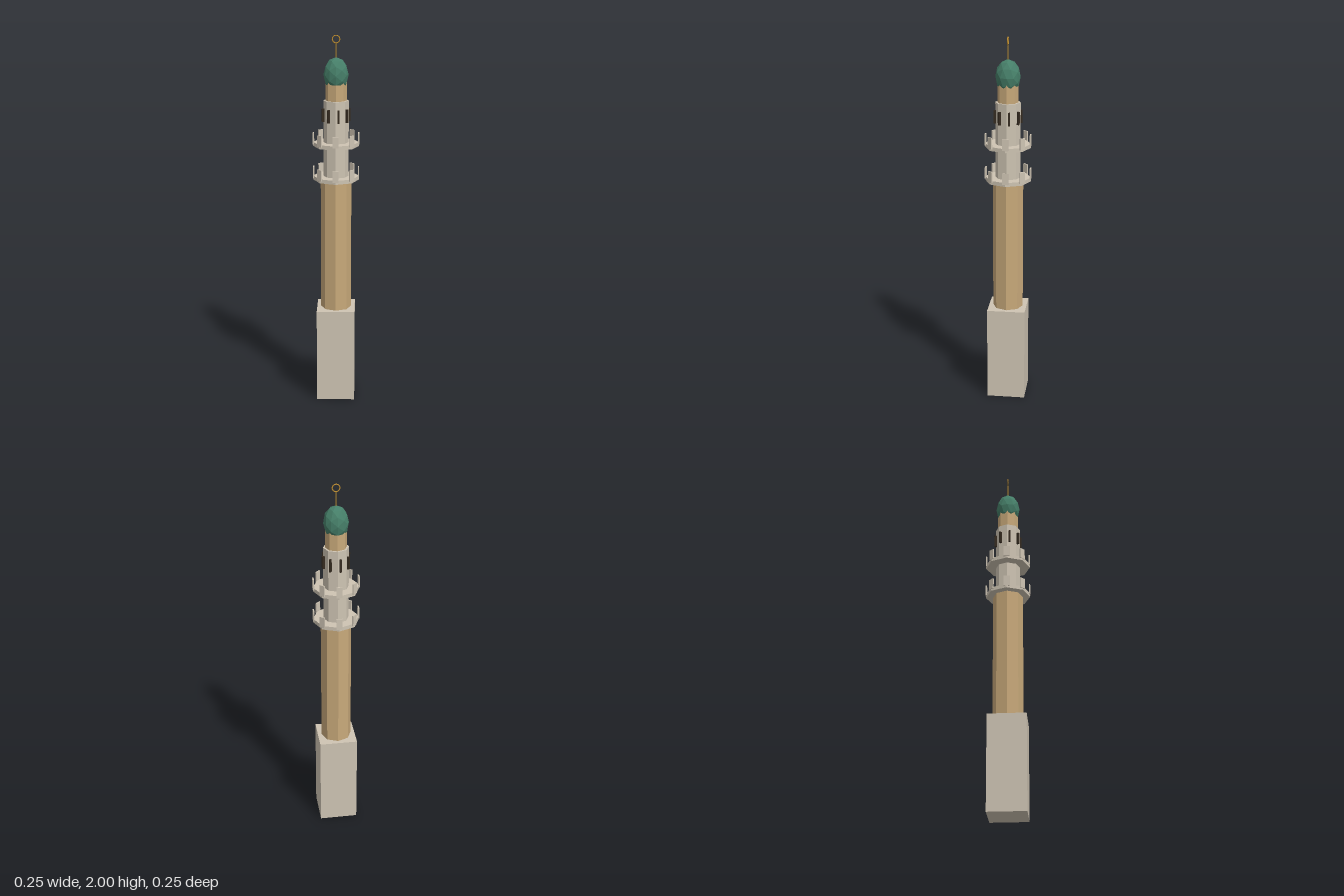
import * as THREE from 'three';

const mat = (name, color) => {
  const m = new THREE.MeshStandardMaterial({ color, flatShading: true });
  m.name = name;
  return m;
};

export function createModel() {
  const stone = mat('pale stone', 0xcec4b3);
  const sand = mat('sandstone', 0xc8a97a);
  const green = mat('dome green', 0x467f69);
  const dark = mat('window dark', 0x352b20);
  const gold = mat('gold', 0xb98a30);

  const tower = new THREE.Group();
  tower.name = 'tower';

  const add = (name, geometry, material, y = 0, parent = tower) => {
    const mesh = new THREE.Mesh(geometry, material);
    mesh.name = name;
    mesh.position.y = y;
    parent.add(mesh);
    return mesh;
  };

  // Eight-sided drum standing between two heights
  const drum = (name, radius, y0, y1, material) =>
    add(name, new THREE.CylinderGeometry(radius, radius, y1 - y0, 8), material, (y0 + y1) / 2);

  // Eight boxes set around the axis, each facing outward
  const ring = (name, size, radius, y, start, material) => {
    const group = new THREE.Group();
    group.name = name + 's';
    const geometry = new THREE.BoxGeometry(...size);
    for (let i = 0; i < 8; i++) {
      const a = start + (i * Math.PI) / 4;
      const box = add(name, geometry, material, y, group);
      box.position.x = Math.sin(a) * radius;
      box.position.z = Math.cos(a) * radius;
      box.rotation.y = a;
    }
    tower.add(group);
  };

  // Square base and shafts
  add('base', new THREE.BoxGeometry(0.206, 0.517, 0.206), stone, 0.2585);
  drum('mainShaft', 0.082, 0.517, 1.235, sand);
  drum('upperShaft', 0.067, 1.235, 1.66, stone);
  drum('neck', 0.056, 1.66, 1.79, sand);

  // Two balconies with parapet panels
  for (const [name, y] of [['lower', 1.234], ['upper', 1.417]]) {
    drum(name + 'Balcony', 0.122, y, y + 0.021, stone);
    ring(name + 'ParapetPanel', [0.031, 0.06, 0.007], 0.1195, y + 0.041, 0, stone);
  }

  // Window slots, turned slightly off the drum corners
  ring('window', [0.01, 0.069, 0.02], 0.066, 1.583, 0.2, dark);

  // Faceted dome; its lower part sinks into the neck
  const dome = add('dome', new THREE.IcosahedronGeometry(0.066, 1), green, 1.794);
  dome.scale.y = 1.38;

  // Finial rod and ring
  add('finialRod', new THREE.CylinderGeometry(0.003, 0.003, 0.085, 6), gold, 1.917);
  add('finialRing', new THREE.TorusGeometry(0.0195, 0.003, 6, 16), gold, 1.9775);

  return tower;
}
